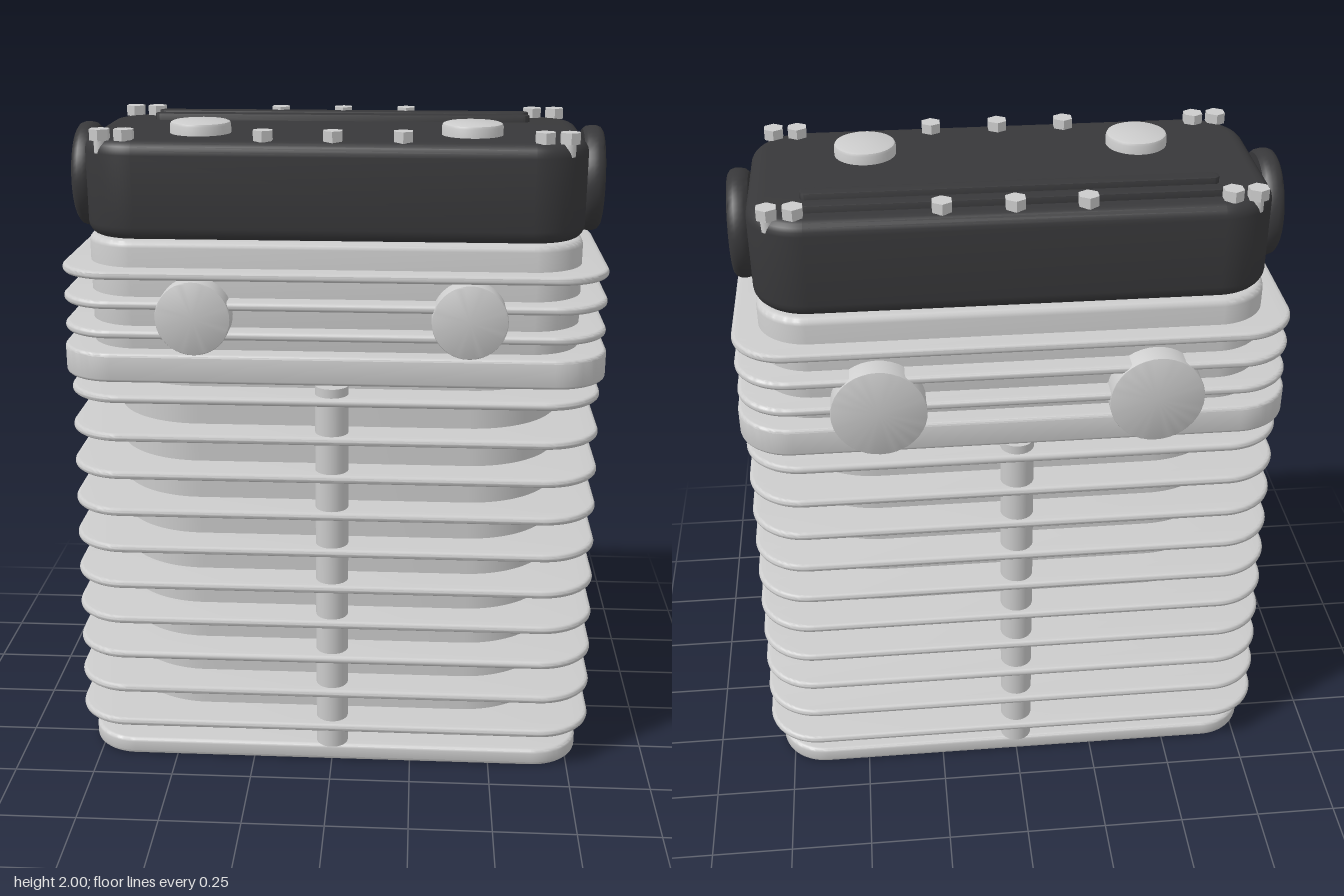
import * as THREE from 'three';
import { toCreasedNormals } from 'three/addons/utils/BufferGeometryUtils.js';

const grey = new THREE.MeshStandardMaterial({ color: 0xcccccc });
const dark = new THREE.MeshStandardMaterial({ color: 0x38383a });

function roundedRect(hx, hz, r) {
  const s = new THREE.Shape();
  s.absarc(hx - r, hz - r, r, 0, Math.PI / 2);
  s.absarc(r - hx, hz - r, r, Math.PI / 2, Math.PI);
  s.absarc(r - hx, r - hz, r, Math.PI, Math.PI * 1.5);
  s.absarc(hx - r, r - hz, r, Math.PI * 1.5, Math.PI * 2);
  return s;
}

// Horizontal plate with rounded corners and softened rims, from y0 to y1
function slab(hx, hz, r, y0, y1, bevel, steps = 3) {
  const geo = new THREE.ExtrudeGeometry(roundedRect(hx - bevel, hz - bevel, r - bevel), {
    depth: y1 - y0 - 2 * bevel, bevelEnabled: true, bevelSize: bevel,
    bevelThickness: bevel, bevelSegments: steps, curveSegments: 12,
  });
  geo.rotateX(-Math.PI / 2).translate(0, y0 + bevel, 0);
  return toCreasedNormals(geo, 0.7);
}

// Solid disc with a softened top rim, standing on y = 0
function disc(r, h, bevel, segments = 40) {
  const pts = [[0, 0], [r, 0], [r, h - bevel], [r - bevel * 0.3, h - bevel * 0.3], [r - bevel, h], [0, h]];
  const geo = new THREE.LatheGeometry(pts.map(([x, y]) => new THREE.Vector2(x, y)), segments);
  return toCreasedNormals(geo.toNonIndexed(), 0.45);
}

export function createModel() {
  const model = new THREE.Group();
  model.name = 'engineTopEnd';
  const add = (name, geo, mat, x = 0, y = 0, z = 0, parent = model) => {
    const m = new THREE.Mesh(geo, mat);
    m.name = name;
    m.position.set(x, y, z);
    parent.add(m);
    return m;
  };
  const group = (name) => {
    const g = new THREE.Group();
    g.name = name;
    model.add(g);
    return g;
  };

  // Cylinder block: base flange, barrel, fins that shrink slightly upwards
  const block = group('cylinderBlock');
  add('baseFlange', slab(0.786, 0.387, 0.15, 0.005, 0.06, 0.012), grey, 0, 0, 0, block);
  add('barrel', slab(0.69, 0.3, 0.28, 0.05, 1.26, 0.002, 1), grey, 0, 0, 0, block);
  for (let i = 0; i < 10; i++) {
    const y = 0.14 + i * 0.12, t = i / 9;
    add('barrelFin', slab(0.82 - 0.022 * t, 0.423 - 0.012 * t, 0.17, y - 0.0125, y + 0.0125, 0.011), grey, 0, 0, 0, block);
  }
  for (const z of [0.35, -0.35])
    add('studColumn', new THREE.CylinderGeometry(0.05, 0.05, 1.2, 24), grey, 0, 0.66, z, block);

  // Cylinder head: lower slab, core and three fins
  const head = group('cylinderHead');
  add('headSlab', slab(0.81, 0.407, 0.16, 1.272, 1.36, 0.01), grey, 0, 0, 0, head);
  add('headCore', slab(0.73, 0.345, 0.15, 1.3, 1.682, 0.02), grey, 0, 0, 0, head);
  for (const y of [1.417, 1.505, 1.592])
    add('headFin', slab(0.805, 0.407, 0.16, y - 0.0125, y + 0.0125, 0.011), grey, 0, 0, 0, head);

  // Front ports and larger rear ports
  for (const x of [-0.4, 0.4]) {
    add('frontPort', disc(0.11, 0.13, 0.006), grey, x, 1.47, 0.282, head).rotation.x = Math.PI / 2;
    add('rearPort', disc(0.138, 0.13, 0.003), grey, x, 1.404, -0.282, head).rotation.x = -Math.PI / 2;
  }

  // Dark valve cover with two ribs towards the back
  const cover = group('valveCover');
  add('coverBody', slab(0.735, 0.332, 0.16, 1.677, 1.965, 0.04, 5), dark, 0, 0, 0, cover);
  for (const z of [-0.165, -0.245])
    add('coverRib', slab(0.585, 0.022, 0.021, 1.94, 1.985, 0.004, 2), dark, 0, 0, z, cover);

  // Round end caps with a bulged rim
  const capProfile = [[0, 0], [0.145, 0], [0.154, 0.01], [0.157, 0.025], [0.157, 0.04],
    [0.152, 0.053], [0.142, 0.06], [0.132, 0.06], [0, 0.06]].map(([x, y]) => new THREE.Vector2(x, y));
  const capGeo = toCreasedNormals(new THREE.LatheGeometry(capProfile, 48).toNonIndexed(), 0.7);
  for (const s of [-1, 1])
    add('endCap', capGeo, dark, s * 0.733, 1.82, 0, cover).rotation.z = -s * Math.PI / 2;

  // Filler caps
  for (const x of [-0.4, 0.4])
    add('fillerCap', disc(0.09, 0.05, 0.01), grey, x, 1.95, 0.13, cover);

  // Hexagonal cover bolts along both edges
  const hex = toCreasedNormals(new THREE.CylinderGeometry(0.031, 0.031, 0.032, 6).toNonIndexed(), 0.3);
  const shank = new THREE.CylinderGeometry(0.018, 0.018, 0.04, 12);
  for (const z of [-0.28, 0.28])
    for (const x of [-0.67, -0.6, -0.2, 0, 0.2, 0.6, 0.67]) {
      add('boltHead', hex, grey, x, 1.978, z, cover);
      add('boltShank', shank, grey, x, 1.945, z, cover);
    }
  return model;
}
